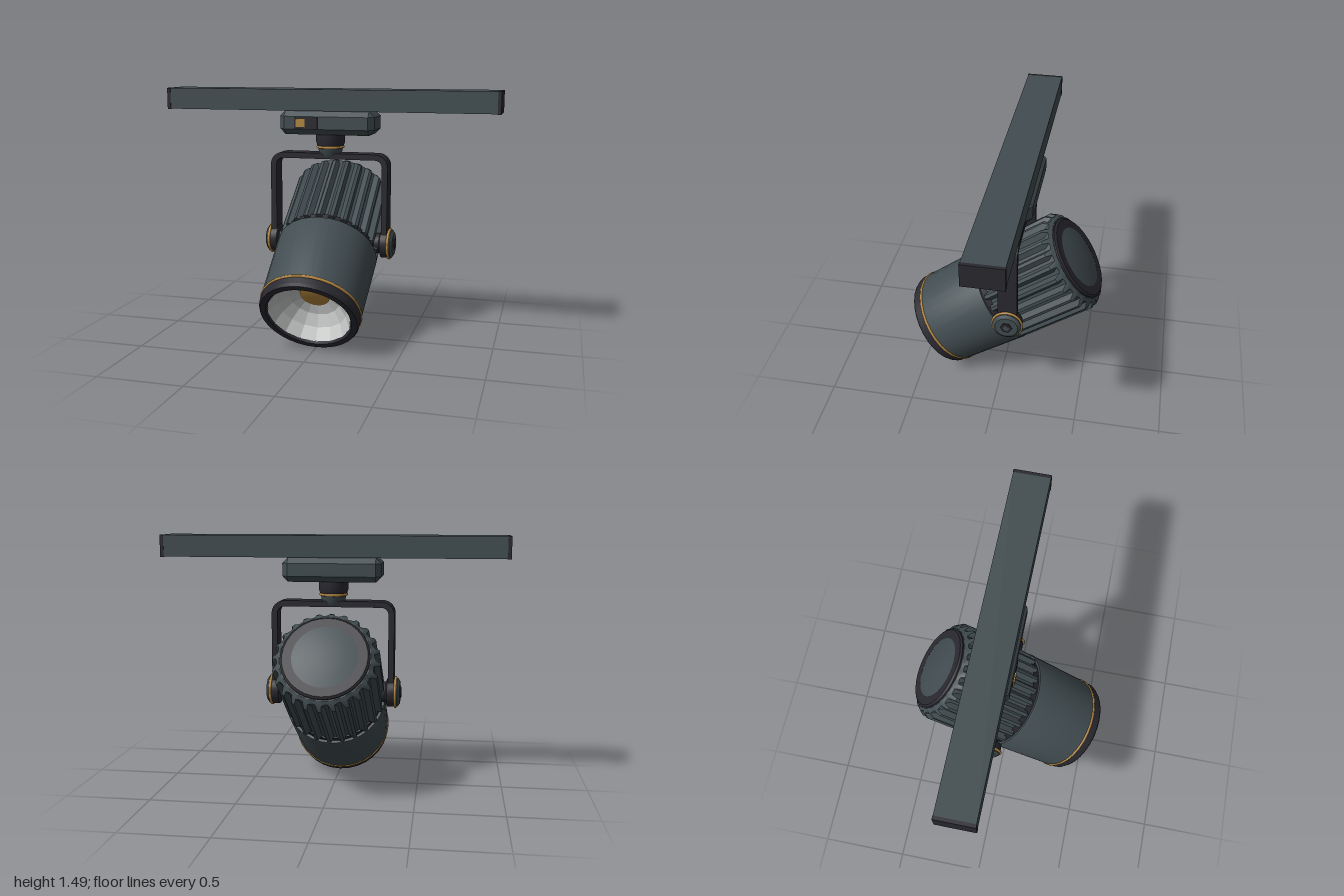
import * as THREE from 'three';
import { toCreasedNormals } from 'three/addons/utils/BufferGeometryUtils.js';
import { ConvexGeometry } from 'three/addons/geometries/ConvexGeometry.js';

const CZ = -0.068;      // depth of the rail, yoke and pivot centre line
const PIVOT_Y = 0.588;

const paint = (name, color) => {
  const m = new THREE.MeshStandardMaterial({ color });
  m.name = name;
  return m;
};

export function createModel() {
  const slate = paint('slate grey', 0x424d51);
  const dark = paint('charcoal', 0x2a2930);
  const brass = paint('brass', 0xb5873f);
  const silver = paint('reflector silver', 0xc9ccca);
  const model = new THREE.Group();
  model.name = 'trackSpotlight';

  const add = (parent, name, geo, mat, x = 0, y = 0, z = 0) => {
    const mesh = new THREE.Mesh(geo, mat);
    mesh.name = name;
    mesh.position.set(x, y, z);
    parent.add(mesh);
    return mesh;
  };
  const box = (w, h, d) => new THREE.BoxGeometry(w, h, d);
  const lathe = (pts, sides = 32) => toCreasedNormals(
    new THREE.LatheGeometry(pts.map(p => new THREE.Vector2(...p)), sides), 0.5);
  const ring = (r, tube) => new THREE.TorusGeometry(r, tube, 8, 32).rotateX(Math.PI / 2);

  // Rail: slotted profile run along x, with end caps and conductors
  const rail = new THREE.Group();
  rail.name = 'rail';
  rail.position.set(0, 1.375, CZ);
  model.add(rail);
  const profile = new THREE.Shape([
    [-0.107, 0], [-0.045, 0], [-0.045, 0.07], [0.045, 0.07],
    [0.045, 0], [0.107, 0], [0.107, 0.125], [-0.107, 0.125],
  ].map(p => new THREE.Vector2(...p)));
  const railGeo = new THREE.ExtrudeGeometry(profile, { depth: 1.96, bevelEnabled: false });
  add(rail, 'railBody', railGeo.translate(0, 0, -0.98).rotateY(Math.PI / 2), slate);
  add(rail, 'slotLining', box(1.96, 0.006, 0.09), dark, 0, 0.067, 0);
  for (const s of [-1, 1]) {
    add(rail, 'slotWall', box(1.96, 0.06, 0.006), dark, 0, 0.035, s * 0.042);
    add(rail, 'conductor', box(1.96, 0.008, 0.008), brass, 0, 0.03, s * 0.036);
    add(rail, 'endCap', box(0.02, 0.127, 0.218), dark, s * 0.99, 0.0615, 0);
  }

  // Adapter: box with every edge chamfered, plus its locking switch
  const [A, B, C, c] = [0.285, 0.07, 0.119, 0.033];
  const corners = [];
  for (const i of [-1, 1]) for (const j of [-1, 1]) for (const k of [-1, 1]) {
    corners.push(new THREE.Vector3(i * A, j * (B - c), k * (C - c)),
      new THREE.Vector3(i * (A - c), j * B, k * (C - c)),
      new THREE.Vector3(i * (A - c), j * (B - c), k * C));
  }
  add(model, 'adapter', new ConvexGeometry(corners), slate, 0, 1.306, CZ);
  add(model, 'switchPlate', box(0.14, 0.07, 0.008), dark, -0.117, 1.306, CZ + C + 0.002);
  add(model, 'switchButton', box(0.055, 0.048, 0.014), brass, -0.15, 1.306, CZ + C + 0.006);

  // Swivel joint
  add(model, 'swivelCollar', lathe([[0, 1.165], [0.078, 1.165], [0.086, 1.19], [0.086, 1.24], [0, 1.24]]), dark, 0, 0, CZ);
  add(model, 'swivelRing', ring(0.076, 0.008), brass, 0, 1.16, CZ);
  add(model, 'swivelBase', lathe([[0, 1.1], [0.055, 1.1], [0.068, 1.125], [0.076, 1.165], [0, 1.165]]), slate, 0, 0, CZ);

  // Yoke: flat strip bent into a rounded U
  const bend = (p, w, top, r, flip) => {
    const pts = [[-w, PIVOT_Y], [-w, top - r]];
    for (let i = 1; i <= 6; i++) {
      const a = Math.PI - i * Math.PI / 12;
      pts.push([-w + r + r * Math.cos(a), top - r + r * Math.sin(a)]);
    }
    const all = pts.concat(pts.slice().reverse().map(([x, y]) => [-x, y]));
    for (const [x, y] of flip ? all.reverse() : all) p.push(new THREE.Vector2(x, y));
  };
  const outline = [];
  bend(outline, 0.358, 1.124, 0.075, false);
  bend(outline, 0.324, 1.09, 0.042, true);
  const yokeGeo = new THREE.ExtrudeGeometry(new THREE.Shape(outline), { depth: 0.11, bevelEnabled: false });
  add(model, 'yoke', toCreasedNormals(yokeGeo.translate(0, 0, -0.055), 0.5), dark, 0, 0, CZ);

  // Pivot knobs, mirrored; each is turned so its axis points outward
  for (const s of [-1, 1]) {
    const knob = new THREE.Group();
    knob.name = s > 0 ? 'leftKnob' : 'rightKnob';
    knob.position.set(0, PIVOT_Y, CZ);
    knob.rotation.z = -s * Math.PI / 2;
    model.add(knob);
    add(knob, 'pivotHub', lathe([[0, 0.28], [0.06, 0.28], [0.06, 0.31], [0.085, 0.32], [0.085, 0.365], [0, 0.365]]), dark);
    add(knob, 'knobRing', ring(0.086, 0.008), brass, 0, 0.367, 0);
    add(knob, 'knobCap', lathe([[0.086, 0.362], [0.084, 0.38], [0.066, 0.393], [0, 0.393]]), slate);
    add(knob, 'hexBolt', new THREE.CylinderGeometry(0.034, 0.034, 0.012, 6), dark, 0, 0.394, 0);
    add(knob, 'hexSocket', new THREE.CylinderGeometry(0.018, 0.018, 0.003, 6), slate, 0, 0.4, 0);
  }

  // Lamp head: local +y runs along the beam, tilted down towards the front
  const head = new THREE.Group();
  head.name = 'lampHead';
  head.position.set(0, PIVOT_Y, CZ);
  head.rotation.x = THREE.MathUtils.degToRad(126);
  model.add(head);

  add(head, 'barrel', lathe([[0.27, 0.09], [0.299, 0.09], [0.303, 0.1], [0.292, 0.53], [0.27, 0.53]]), slate);
  add(head, 'grooveBand', lathe([[0.284, 0.05], [0.284, 0.11]]), dark);
  add(head, 'trimRing', ring(0.289, 0.009), brass, 0, 0.525, 0);
  add(head, 'bezel', lathe([[0.27, 0.528], [0.291, 0.528], [0.291, 0.575], [0.282, 0.591],
    [0.25, 0.591], [0.24, 0.575]]), dark);

  // Faceted reflector and light source
  const reflector = new THREE.LatheGeometry(
    [[0.242, 0.578], [0.205, 0.505], [0.15, 0.45], [0.08, 0.422]].map(p => new THREE.Vector2(...p)), 16);
  add(head, 'reflector', toCreasedNormals(reflector, 0.05), silver);
  add(head, 'lightSource', lathe([[0.09, 0.42], [0.088, 0.432], [0.05, 0.44], [0, 0.442]], 24), brass);

  // Finned heat sink: grooves cut into every second pair of columns
  const sinkPts = [[0, -0.435], [0.255, -0.435], [0.28, -0.42], [0.302, -0.39], [0.302, 0.07], [0.27, 0.07]];
  const sink = new THREE.LatheGeometry(sinkPts.map(p => new THREE.Vector2(...p)), 96);
  const pos = sink.attributes.position;
  for (let i = 0; i < pos.count; i++) {
    const r = sinkPts[i % sinkPts.length][0];
    const column = Math.floor(i / sinkPts.length) % 4;
    if (column > 1 && r > 0.272) {
      const k = 0.272 / r;
      pos.setXYZ(i, pos.getX(i) * k, pos.getY(i), pos.getZ(i) * k);
    }
  }
  add(head, 'heatSink', toCreasedNormals(sink, 0.5), slate);

  // Rear cap
  add(head, 'rearRing', lathe([[0.185, -0.452], [0.238, -0.452], [0.25, -0.443], [0.25, -0.425]]), dark);
  add(head, 'rearDome', lathe([[0, -0.468], [0.07, -0.466], [0.13, -0.46], [0.188, -0.45]]), slate);

  return model;
}
